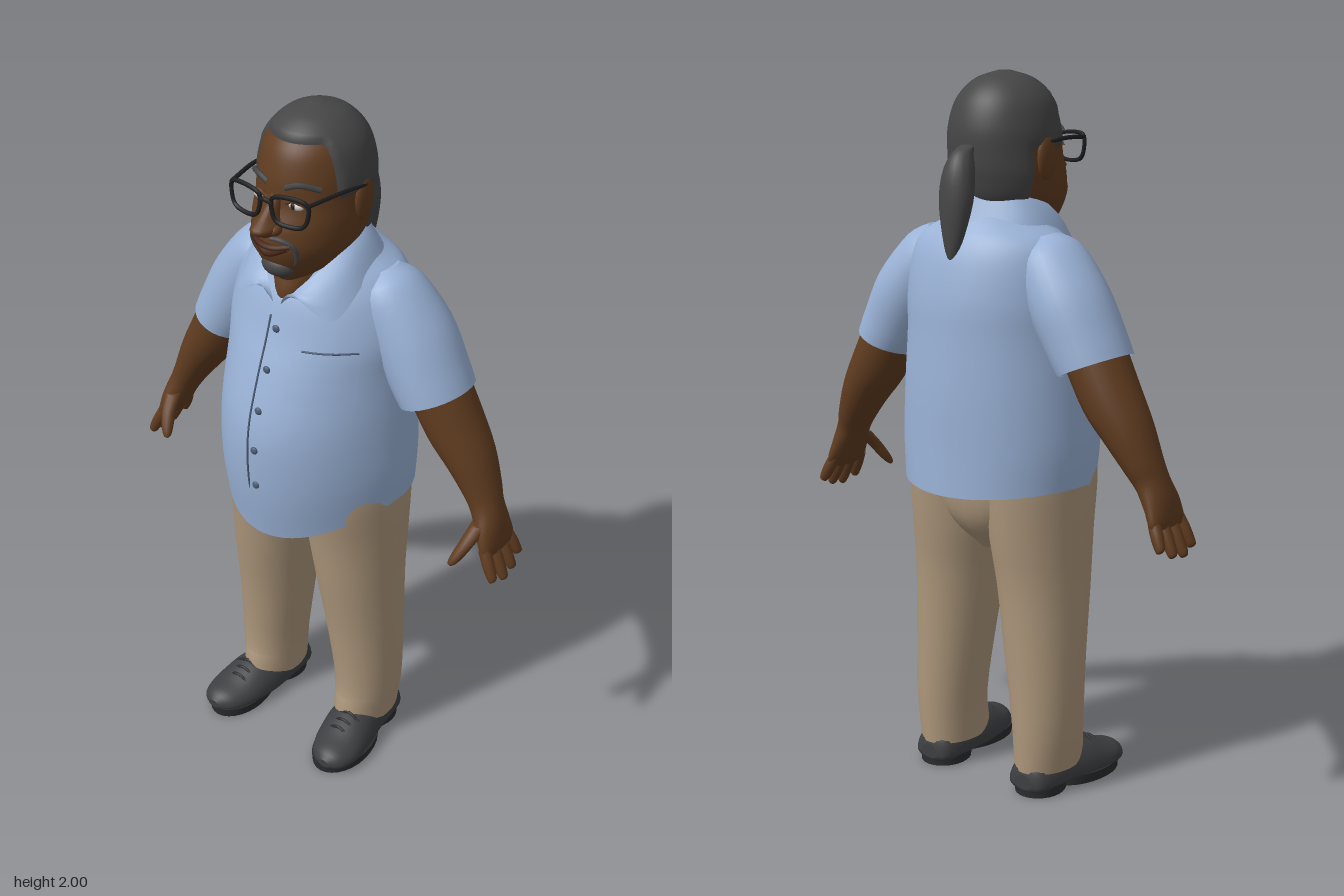
import * as THREE from 'three';

const mat = (name, color, side = THREE.FrontSide) => {
  const m = new THREE.MeshStandardMaterial({ color, side });
  m.name = name;
  return m;
};
const V3 = (x, y, z) => new THREE.Vector3(x, y, z);
const X = V3(1, 0, 0), Y = V3(0, 1, 0), Z = V3(0, 0, 1);

// Smoothly interpolated row of section values at t in 0..1
function rowAt(rows, t) {
  const f = Math.min(t, 1) * (rows.length - 1), i = Math.min(Math.floor(f), rows.length - 2), s = f - i;
  const p = (k) => rows[Math.max(0, Math.min(rows.length - 1, k))];
  return rows[i].map((b, c) => {
    const a = p(i - 1)[c], d = p(i + 1)[c], e = p(i + 2)[c];
    return b + 0.5 * s * (d - a + s * (2 * a - 5 * b + 4 * d - e + s * (3 * (b - d) + e - a)));
  });
}

// Loft through rows [x, y, z, radius along U, radius along +V, radius along -V]
function loft(rows, { U = X, V = Z, n = 28, steps = 4, caps = [true, true], pw = 1, warp } = {}) {
  const pos = [], idx = [], m = (rows.length - 1) * steps;
  const up = V3(...rows.at(-1).slice(0, 3)).sub(V3(...rows[0].slice(0, 3)));
  const flip = up.dot(V3().crossVectors(U, V)) < 0;
  const tri = (a, b, c) => (flip ? idx.push(a, c, b) : idx.push(a, b, c));
  const put = (v) => { if (warp) warp(v); return pos.push(v.x, v.y, v.z) / 3 - 1; };
  const ring = (r) => {
    for (let j = 0; j < n; j++) {
      const a = (j / n) * Math.PI * 2, s = Math.sin(a);
      const k = s > 0 ? r[4] * s ** pw : (r[5] ?? r[4]) * s;
      put(V3(r[0], r[1], r[2]).addScaledVector(U, r[3] * Math.cos(a)).addScaledVector(V, k));
    }
  };
  for (let i = 0; i <= m; i++) ring(rowAt(rows, i / m));
  for (let i = 0; i < m; i++) for (let j = 0; j < n; j++) {
    const a = i * n + j, b = i * n + (j + 1) % n;
    tri(a, b, b + n); tri(a, b + n, a + n);
  }
  [rows[0], rows.at(-1)].forEach((r, e) => {
    if (!caps[e]) return;
    const c = put(V3(r[0], r[1], r[2]));
    ring(r);
    for (let j = 0; j < n; j++) {
      const a = c + 1 + j, b = c + 1 + (j + 1) % n;
      e ? tri(c, a, b) : tri(c, b, a);
    }
  });
  const g = new THREE.BufferGeometry();
  g.setAttribute('position', new THREE.Float32BufferAttribute(pos, 3));
  g.setIndex(idx);
  g.computeVertexNormals();
  return g;
}

const curve = (pts, closed = false) => new THREE.CatmullRomCurve3(pts.map((p) => V3(...p)), closed, 'centripetal');
const tube = (pts, r, closed = false, n = 24) => new THREE.TubeGeometry(curve(pts, closed), n, r, 6, closed);
const blob = (x, y, z, a, b, c) => new THREE.SphereGeometry(1, 20, 14).scale(a, b, c).translate(x, y, z);

function mirrored(g) {
  const h = g.clone().scale(-1, 1, 1), a = h.index.array;
  for (let i = 0; i < a.length; i += 3) [a[i], a[i + 1]] = [a[i + 1], a[i]];
  return h;
}

export function createModel() {
  const model = new THREE.Group();
  model.name = 'man';
  const shirt = mat('shirt blue', 0x9ab2d6, THREE.DoubleSide), seam = mat('seam blue', 0x4d5c75);
  const skin = mat('skin brown', 0x603c20), lip = mat('lip brown', 0x4a2817);
  const hair = mat('hair grey', 0x464646), frame = mat('frame black', 0x1e1e20);
  const tan = mat('trouser tan', 0xad977c), leather = mat('shoe leather', 0x3e3f42);
  const sole = mat('sole black', 0x2c2c2e), white = mat('eye white', 0xd8d4cc);
  const add = (name, g, m) => {
    const o = new THREE.Mesh(g, m);
    o.name = name;
    model.add(o);
  };
  const pair = (name, g, m) => { add(name + 'Left', g, m); add(name + 'Right', mirrored(g), m); };

  // Shirt body with a hem that dips at the front
  const body = [
    [0, .88, -.02, .28, .265, .26], [0, 1, -.02, .287, .292, .258], [0, 1.15, -.02, .28, .29, .257],
    [0, 1.3, -.02, .27, .245, .25], [0, 1.4, -.02, .272, .205, .245], [0, 1.5, -.04, .255, .19, .205],
    [0, 1.56, -.05, .225, .165, .17], [0, 1.6, -.04, .165, .14, .15], [0, 1.63, -.03, .12, .11, .13]];
  const hem = (v) => {
    const k = Math.max(0, (1.05 - v.y) / .17), w = (v.x / .28) ** 2;
    v.y += k * (v.z > 0 ? .015 - .09 * (1 - Math.min(1, w)) : -.005 + .02 * w);
  };
  add('shirtBody', loft(body, { n: 56, caps: [false, true], pw: 1.3, warp: hem }), shirt);
  const front = (x, y) => {
    let t = 0;
    while (t < 1 && rowAt(body, t)[1] < y) t += .004;
    const r = rowAt(body, t);
    return r[2] + r[4] * Math.max(0, 1 - (x / r[3]) ** 2) ** .65;
  };

  // Sleeves
  const sleeveU = V3(.92, .38, 0);
  pair('sleeve', loft([[.17, 1.565, -.06, .05, .05], [.195, 1.52, -.06, .09, .1], [.265, 1.41, -.07, .108, .12],
    [.325, 1.3, -.07, .105, .12], [.355, 1.245, -.07, .1, .118]], { U: sleeveU, caps: [true, false] }), shirt);

  // Collar flaps: a strip between the neck edge and the outer edge
  const neckEdge = curve([[0, 1.69, -.145], [.105, 1.68, -.08], [.125, 1.65, .02], [.085, 1.59, .105], [.012, 1.5, .165]]);
  const outerEdge = curve([[0, 1.61, -.195], [.15, 1.6, -.1], [.18, 1.56, .03], [.155, 1.485, .135], [.05, 1.545, .165]]);
  const collar = new THREE.PlaneGeometry(1, 1, 32, 4), cp = collar.attributes.position;
  for (let i = 0; i < cp.count; i++) {
    const u = cp.getX(i) + .5, v = cp.getY(i) + .5;
    const q = outerEdge.getPoint(u).lerp(neckEdge.getPoint(u), v);
    cp.setXYZ(i, q.x, q.y + .01 * Math.sin(v * Math.PI), q.z + .008 * Math.sin(v * Math.PI));
  }
  collar.computeVertexNormals();
  pair('collar', collar, shirt);

  // Placket seam, buttons and chest pocket
  const line = [];
  for (let y = .9; y < 1.5; y += .07) line.push([-.02, y, front(-.02, y) + .001]);
  add('placketSeam', tube([[-.02, .815, .242], ...line], .003), seam);
  for (const y of [.985, 1.1, 1.215, 1.325, 1.43]) add('button', blob(.005, y, front(0, y) + .003, .011, .011, .006), seam);
  const pocket = new THREE.PlaneGeometry(.15, .145, 10, 10).translate(.145, 1.32, 0), pp = pocket.attributes.position;
  for (let i = 0; i < pp.count; i++) pp.setZ(i, front(pp.getX(i), pp.getY(i)) + .006);
  pocket.computeVertexNormals();
  add('pocket', pocket, shirt);
  add('pocketSeam', tube([.09, .13, .17, .215].map((x) => [x, 1.392, front(x, 1.392) + .005]), .003), seam);

  // Trousers
  const cuff = (v) => { if (v.y < .15) v.y += .4 * Math.max(0, v.z); };
  pair('trouserLeg', loft([[.175, .07, -.03, .083, .125, .115], [.177, .2, -.035, .094, .115, .115],
    [.164, .4, -.03, .11, .125, .125], [.15, .6, -.02, .124, .145, .145], [.14, .75, -.02, .135, .165, .165],
    [.137, .9, -.02, .137, .19, .18], [.13, 1, -.02, .13, .19, .18]], { n: 32, warp: cuff }), tan);
  add('trouserSeat', loft([[0, .69, -.02, .03, .07, .08], [0, .77, -.02, .16, .14, .15], [0, .86, -.02, .26, .18, .175],
    [0, .98, -.02, .27, .19, .18]]), tan);

  // Shoes with a forefoot sole, heel and laces
  pair('shoe', loft([[.175, .035, -.145, .03, .03, .015], [.175, .035, -.12, .065, .07, .03], [.18, .035, 0, .076, .09, .028],
    [.19, .035, .08, .082, .085, .03], [.203, .035, .16, .077, .052, .03], [.21, .035, .215, .055, .036, .025],
    [.213, .035, .24, .02, .015, .01]], { V: Y }), leather);
  pair('sole', loft([[.2, 0, .12, .078, .118, .14], [.2, .028, .12, .08, .12, .14]], { steps: 1 }), sole);
  pair('heel', loft([[.177, 0, -.07, .068, .085, .075], [.177, .035, -.07, .07, .09, .075]], { steps: 1 }), sole);
  for (const [z, y] of [[.09, .119], [.115, .107], [.14, .096]])
    pair('lace', tube([[.155, y - .018, z], [.195, y + .002, z], [.235, y - .018, z]], .005, false, 8), sole);

  // Arms and hands
  const armU = V3(.83, .56, 0);
  pair('arm', loft([[.34, 1.3, -.07, .085, .09], [.41, 1.17, -.075, .08, .087], [.47, 1.08, -.075, .066, .076],
    [.515, 1, -.07, .05, .062], [.537, .955, -.062, .043, .056], [.56, .905, -.055, .036, .068],
    [.577, .86, -.055, .026, .075], [.585, .84, -.055, .016, .065]], { U: armU }), skin);
  for (const [z, tip, len] of [[.002, .014, .92], [-.036, -.033, 1.08], [-.074, -.08, 1], [-.108, -.124, .78]]) {
    const at = (t, r) => [.572 + .045 * t * len, .865 - .09 * t * len, z + (tip - z) * t, r, r];
    pair('finger', loft([at(0, .017), at(.45, .018), at(.85, .015), at(1, .011), at(1.04, .003)], { U: armU, n: 12 }), skin);
  }
  pair('thumb', loft([[.545, .93, -.02, .025, .03], [.535, .89, .022, .022, .022], [.52, .85, .05, .018, .018],
    [.511, .828, .063, .012, .012], [.509, .82, .066, .003, .003]], { n: 12 }), skin);

  // Neck and head
  add('neck', loft([[0, 1.46, .03, .05, .11, .05], [0, 1.52, .03, .065, .117, .1], [0, 1.58, 0, .1, .13, .12],
    [0, 1.68, -.01, .11, .13, .13]]), skin);
  const skull = [[0, 1.56, .08, .04, .06, .06], [0, 1.6, .06, .092, .11, .12], [0, 1.66, .02, .133, .175, .15],
    [0, 1.72, 0, .145, .19, .152], [0, 1.78, -.005, .145, .172, .155], [0, 1.85, -.01, .142, .168, .15],
    [0, 1.92, -.01, .122, .142, .128], [0, 1.97, -.01, .075, .085, .08], [0, 1.992, -.01, .015, .015, .015]];
  add('head', loft(skull, { n: 48, steps: 6 }), skin);

  // Hair: the skull pushed outwards inside the hairline and sunk below the skin elsewhere
  const centre = V3(0, 1.75, -.01);
  add('hair', loft(skull, { n: 72, steps: 10, warp: (v) => {
    const d = Math.max(v.y - 1.935, Math.min(.075 - v.z, v.y - 1.8), Math.min(-.055 - v.z, v.y - 1.65));
    v.addScaledVector(V3().subVectors(v, centre).normalize(), Math.max(-.012, Math.min(.009, d)));
  } }), hair);
  add('ponytail', loft([[0, 1.5, -.232, .006, .006], [0, 1.55, -.228, .026, .02], [0, 1.66, -.214, .05, .038],
    [0, 1.74, -.202, .045, .04], [0, 1.79, -.185, .028, .03], [0, 1.81, -.155, .022, .02]], { n: 20 }), hair);

  // Face
  pair('ear', blob(.145, 1.775, -.012, .016, .06, .036), skin);
  add('nose', loft([[0, 1.715, .195, .022, .03, .02], [0, 1.737, .195, .036, .06, .02], [0, 1.765, .18, .022, .042, .02],
    [0, 1.81, .16, .014, .012, .01]], { n: 20 }), skin);
  pair('nostril', blob(.027, 1.733, .2, .016, .015, .02), skin);
  pair('eye', blob(.055, 1.79, .15, .024, .013, .014), white);
  pair('iris', blob(.053, 1.79, .16, .008, .009, .006), frame);
  pair('eyelid', tube([[.03, 1.793, .16], [.055, 1.806, .162], [.082, 1.793, .148]], .006), skin);
  pair('eyebrow', tube([[.028, 1.834, .16], [.065, 1.846, .15], [.105, 1.832, .115]], .008), hair);
  add('upperLip', tube([[-.058, 1.688, .181], [-.02, 1.681, .2], [.02, 1.681, .2], [.058, 1.688, .181]], .009), lip);
  add('lowerLip', tube([[-.05, 1.682, .183], [0, 1.662, .2], [.05, 1.682, .183]], .01), lip);
  pair('moustache', tube([[.006, 1.703, .196], [.04, 1.702, .19], [.066, 1.685, .177], [.066, 1.65, .165], [.045, 1.615, .155]], .007), hair);
  add('goatee', blob(0, 1.611, .148, .052, .034, .042), hair);

  // Glasses
  pair('glassesRim', tube([[.018, 1.815, .203], [.03, 1.826, .203], [.11, 1.828, .192], [.122, 1.815, .188],
    [.115, 1.77, .19], [.1, 1.757, .193], [.04, 1.757, .203], [.025, 1.77, .204]], .006, true, 48), frame);
  add('glassesBridge', tube([[-.02, 1.805, .203], [0, 1.812, .207], [.02, 1.805, .203]], .006), frame);
  pair('glassesTemple', tube([[.121, 1.82, .19], [.142, 1.822, .08], [.152, 1.815, -.01]], .006), frame);
  return model;
}
